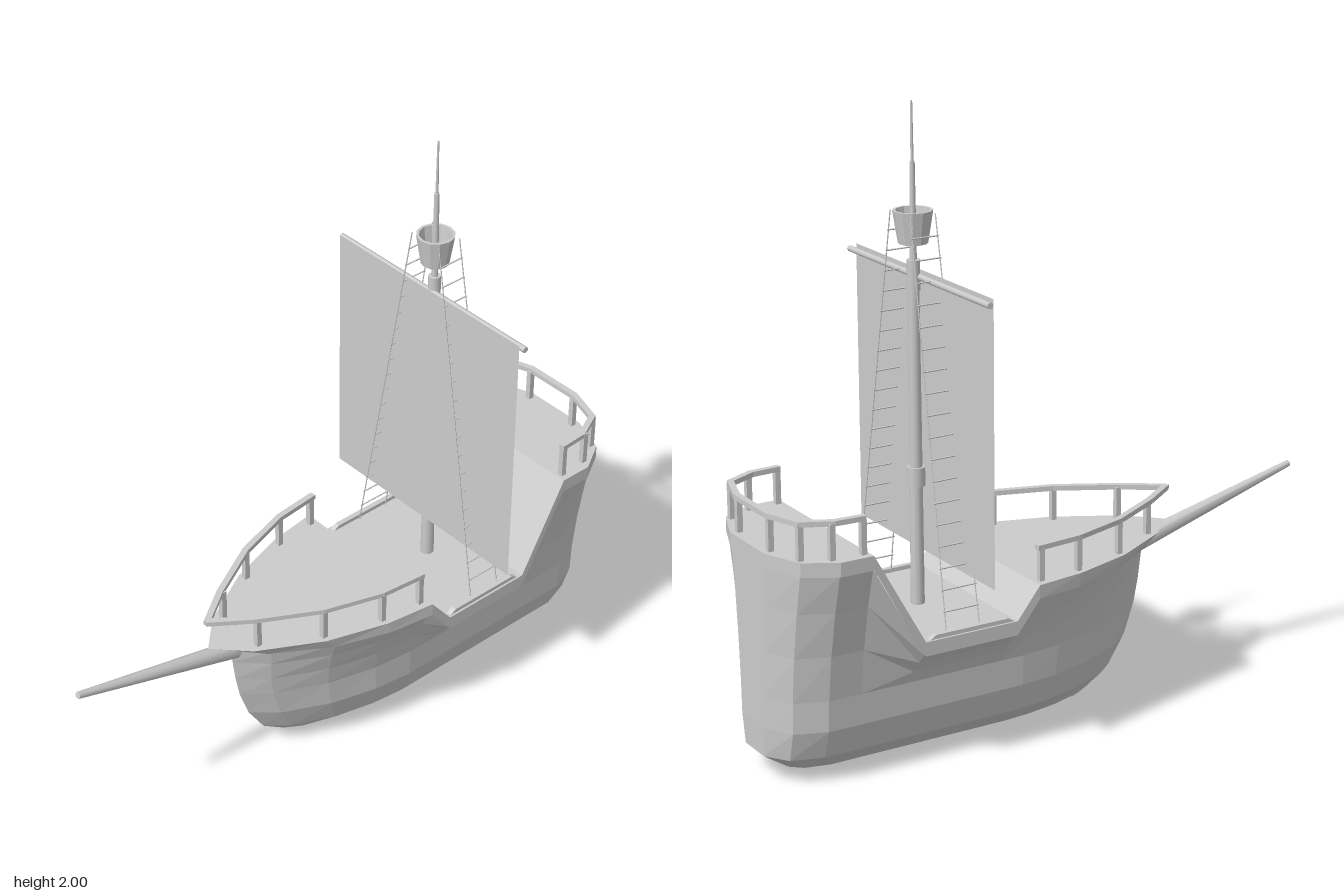
import * as THREE from 'three';

const V = (x, y, z) => new THREE.Vector3(x, y, z);
const mat = new THREE.MeshStandardMaterial({ color: 0xcccccc, flatShading: true });
const smooth = new THREE.MeshStandardMaterial({ color: 0xcccccc });
const thin = new THREE.MeshStandardMaterial({ color: 0xcccccc, side: THREE.DoubleSide });

// Half plan of the hull from bow to stern: [z, share of the half width]
const half = [
  [0.5, 0], [0.4, 0.34], [0.2, 0.71], [0, 0.92], [-0.17, 1], [-0.25, 1], [-0.41, 1],
  [-0.57, 1], [-0.74, 1], [-0.85, 1], [-0.95, 0.8], [-1, 0.37], [-1, 0],
];
const plan = [...half, ...half.slice(0, -1).reverse().map(([z, w]) => [z, -w])];

// Height of the hull's upper edge: foredeck, low waist, raised stern
function sheer(z) {
  if (z > -0.17) return 0.495;
  if (z > -0.25) return THREE.MathUtils.mapLinear(z, -0.17, -0.25, 0.495, 0.395);
  if (z > -0.57) return 0.395;
  return Math.min(0.7, THREE.MathUtils.mapLinear(z, -0.57, -0.74, 0.395, 0.7));
}

// Height part of the way from the hull's shoulder to its upper edge
const flare = (t) => (z) => THREE.MathUtils.lerp(0.28, sheer(z), t);

// One ring of the hull; y may be a number or a function of z
function ring(y, width, bow, stern) {
  return plan.map(([z, share]) => {
    let pz = z;
    if (z > -0.17) pz = -0.17 + (z + 0.17) * (bow + 0.17) / 0.67;
    if (z < -0.57) pz = -0.57 + (z + 0.57) * (stern + 0.57) / -0.43;
    return V(share * width, typeof y === 'number' ? y : y(z), pz);
  });
}

// Skin between rings, optionally decked across the last one
function loft(rings, decked) {
  const n = plan.length, pos = [], idx = [];
  rings.flat().forEach((p) => pos.push(p.x, p.y, p.z));
  for (let r = 0; r < rings.length - 1; r++) {
    for (let s = 0; s < n - 1; s++) {
      const a = r * n + s, b = a + 1, c = b + n, d = a + n;
      idx.push(a, b, c, a, c, d);
    }
  }
  if (decked) {
    const o = (rings.length - 1) * n;
    for (let s = 0; s < half.length - 1; s++) {
      const a = o + s, b = a + 1, d = o + n - 1 - s, c = d - 1;
      idx.push(a, b, c, a, c, d);
    }
  }
  const g = new THREE.BufferGeometry();
  g.setAttribute('position', new THREE.Float32BufferAttribute(pos, 3));
  g.setIndex(idx);
  g.computeVertexNormals();
  return g;
}

function add(parent, name, geometry, material = mat) {
  const m = new THREE.Mesh(geometry, material);
  m.name = name;
  parent.add(m);
  return m;
}

// Round spar between two points
function spar(parent, name, a, b, r0, r1 = r0, sides = 8) {
  const m = add(parent, name, new THREE.CylinderGeometry(r1, r0, a.distanceTo(b), sides), sides > 6 ? smooth : mat);
  m.position.copy(a).add(b).multiplyScalar(0.5);
  m.quaternion.setFromUnitVectors(V(0, 1, 0), b.clone().sub(a).normalize());
  return m;
}

// Square beam between two points
function beam(parent, name, a, b, w, h) {
  const m = add(parent, name, new THREE.BoxGeometry(w, h, a.distanceTo(b) + w * 0.4));
  m.position.copy(a).add(b).multiplyScalar(0.5);
  m.lookAt(b);
  return m;
}

// Handrail along [x, z] points with posts below, mirrored to both sides
function railing(parent, name, points, posts, base, top) {
  const g = new THREE.Group();
  g.name = name;
  for (const s of [1, -1]) {
    for (let i = 0; i < points.length - 1; i++) {
      const [p, q] = [points[i], points[i + 1]];
      beam(g, 'handrail', V(s * p[0], top, p[1]), V(s * q[0], top, q[1]), 0.02, 0.016);
    }
    for (const [x, z] of posts) {
      const post = add(g, 'railPost', new THREE.BoxGeometry(0.018, top - base, 0.018));
      post.position.set(s * x, (base + top) / 2, z);
    }
  }
  parent.add(g);
}

export function createModel() {
  const ship = new THREE.Group();
  ship.name = 'sailingShip';

  // Hull, from keel to upper edge
  add(ship, 'hull', loft([
    ring(0, 0, 0.15, -0.88),
    ring(0.025, 0.1, 0.2, -0.91),
    ring(0.085, 0.165, 0.285, -0.995),
    ring(0.18, 0.2, 0.345, -0.997),
    ring(0.28, 0.205, 0.38, -0.997),
    ring(flare(0.35), 0.225, 0.395, -0.997),
    ring(flare(0.7), 0.256, 0.405, -0.997),
    ring(sheer, 0.29, 0.415, -0.997),
  ]));

  // Overhanging deck slab that follows the upper edge
  add(ship, 'deck', loft([
    ring(sheer, 0.285, 0.41, -0.985),
    ring(sheer, 0.3, 0.43, -1),
    ring((z) => sheer(z) + 0.045, 0.3, 0.5, -1),
  ], true));

  // Railings on the foredeck and around the stern
  railing(ship, 'foreRailing',
    [[0.265, -0.155], [0.25, 0], [0.19, 0.19], [0.085, 0.38], [0, 0.5]],
    [[0.265, -0.145], [0.25, 0], [0.19, 0.19], [0.085, 0.37]], 0.53, 0.648);
  railing(ship, 'sternRailing',
    [[0.27, -0.755], [0.265, -0.85], [0.22, -0.94], [0.1, -0.98], [0, -0.98]],
    [[0.27, -0.76], [0.265, -0.86], [0.22, -0.94], [0.1, -0.975]], 0.735, 0.857);

  // Bowsprit
  spar(ship, 'bowsprit', V(0, 0.479, 0.39), V(0, 0.643, 0.997), 0.03, 0.011, 8);

  // Mast, with collars and a thin topmast
  const mz = -0.425;
  const up = (name, y0, y1, r0, r1) => spar(ship, name, V(0, y0, mz), V(0, y1, mz), r0, r1, 10);
  up('mast', 0.42, 1.5, 0.022, 0.017);
  up('lowerCollar', 0.82, 0.88, 0.028);
  up('upperCollar', 1.43, 1.525, 0.02);
  up('topmast', 1.5, 1.82, 0.011, 0.008);
  up('flagpole', 1.82, 2, 0.005, 0.003);

  // Crow's nest, an open tub
  const nest = add(ship, 'crowsNest', new THREE.LatheGeometry([
    [0, 1.575], [0.045, 1.575], [0.061, 1.675], [0.052, 1.675], [0.04, 1.59], [0, 1.59],
  ].map(([x, y]) => new THREE.Vector2(x, y)), 12), mat);
  nest.position.z = mz;

  // Yard and square sail
  spar(ship, 'yard', V(-0.415, 1.472, -0.412), V(0.415, 1.472, -0.412), 0.01);
  const sail = add(ship, 'sail', new THREE.PlaneGeometry(0.81, 0.885), thin);
  sail.position.set(0, 1.045, -0.395);

  // Rope ladders from the waist to the crow's nest
  for (const s of [1, -1]) {
    const shroud = new THREE.Group();
    shroud.name = s > 0 ? 'leftRopeLadder' : 'rightRopeLadder';
    ship.add(shroud);
    const at = (t, side) => V(s * THREE.MathUtils.lerp(0.27, 0.06, t),
      THREE.MathUtils.lerp(0.44, 1.67, t), mz + side * THREE.MathUtils.lerp(0.058, 0.042, t));
    for (const side of [1, -1]) spar(shroud, 'rope', at(0, side), at(1, side), 0.002, 0.002, 5);
    for (let i = 1; i < 19; i++) {
      spar(shroud, 'rung', at(i / 19, 1.08), at(i / 19, -1.08), 0.0025, 0.0025, 5);
    }
    // Low ledge the ropes are tied to, tapered at the ends
    const ledge = new THREE.Shape([[-0.25, 0.435], [-0.28, 0.453], [-0.53, 0.453], [-0.56, 0.435]]
      .map(([z, y]) => new THREE.Vector2(-z, y)));
    const m = add(shroud, 'ropeLedge', new THREE.ExtrudeGeometry(ledge, { depth: 0.018, bevelEnabled: false }));
    m.rotation.y = Math.PI / 2;
    m.position.x = s * 0.284 - 0.009;
  }
  return ship;
}
